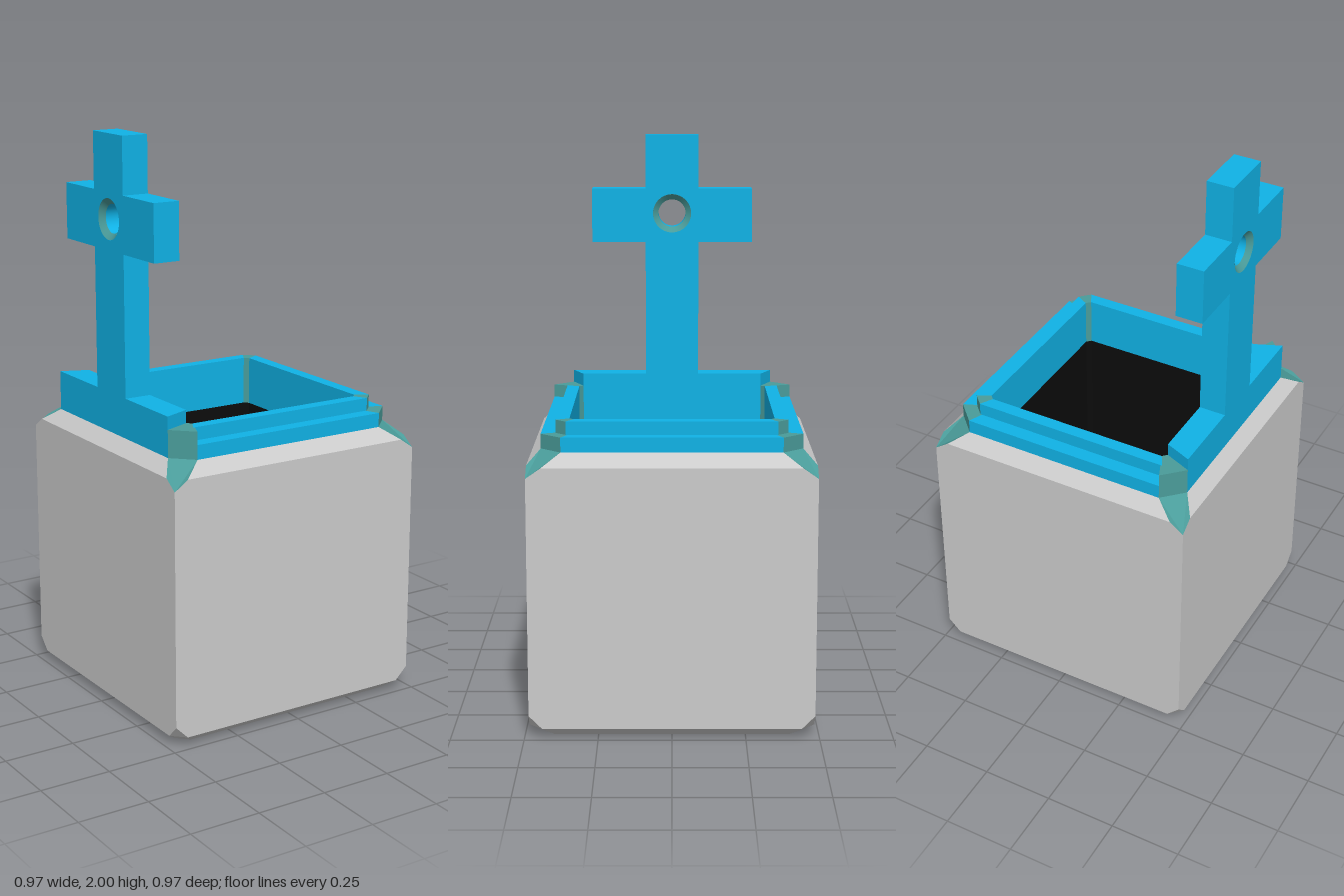
import * as THREE from 'three';

const mat = (color, side = THREE.FrontSide) =>
  new THREE.MeshStandardMaterial({ color, flatShading: true, side });

export function createModel() {
  const group = new THREE.Group();
  const grey = mat(0xcccccc), blue = mat(0x10b2e6), teal = mat(0x4a9c9a), black = mat(0x0c0c0c);

  const add = (name, geometry, material, turn = 0) => {
    const mesh = new THREE.Mesh(geometry, material);
    mesh.name = name;
    mesh.rotation.y = turn * Math.PI / 2;
    group.add(mesh);
    return mesh;
  };

  // Flat faces, each a fan around its first corner
  const faces = (...polygons) => {
    const p = [];
    for (const f of polygons)
      for (let i = 1; i < f.length - 1; i++) p.push(...f[0], ...f[i], ...f[i + 1]);
    const g = new THREE.BufferGeometry();
    g.setAttribute('position', new THREE.Float32BufferAttribute(p, 3));
    g.computeVertexNormals();
    return g;
  };

  // Upright prism over an outline of [x, z] points
  const prism = (outline, y0, y1) => {
    const shape = new THREE.Shape(outline.map(([x, z]) => new THREE.Vector2(x, -z)));
    return new THREE.ExtrudeGeometry(shape, { depth: y1 - y0, bevelEnabled: false })
      .rotateX(-Math.PI / 2).translate(0, y0, 0);
  };

  const W = 0.485, T = 0.44, IN = 0.345, C = 0.33, FLOOR = 0.14, LIP = 0.9;
  const side = (half, out) => [[-half, out], [half, out], [C, IN], [-C, IN]];
  const corner = (half, out) => [[half, out], [out, half], [IN, C], [C, IN]];

  // Four equal quarters: front, left, back, right
  for (let k = 0; k < 4; k++) {
    const isRight = k === 3, rightCorner = k >= 2;

    // Body panel with bevels above and below
    add('bodySide', faces(
      [[-W, 0.08, W], [-T, 0.035, W], [T, 0.035, W], [W, 0.08, W],
        [W, 0.9, W], [0.435, 0.935, W], [-0.435, 0.935, W], [-W, 0.9, W]],
      [[-0.435, 0.935, W], [0.435, 0.935, W], [0.37, 0.98, T], [-0.37, 0.98, T]],
      [[-0.4, 0, T], [0.4, 0, T], [T, 0.035, W], [-T, 0.035, W]],
      [[T, 0.035, W], [W, 0.035, T], [W, 0.08, W]],
      [[0.4, 0, T], [T, 0, 0.4], [W, 0.035, T], [T, 0.035, W]],
      [[0, 0, 0], [T, 0, 0.4], [0.4, 0, T], [-0.4, 0, T]]
    ), grey, k);
    add('bodyCorner', faces(
      [[W, 0.9, W], [W, 0.935, 0.435], [T, 0.98, 0.37], [0.37, 0.98, T], [0.435, 0.935, W]]
    ), teal, k);

    // Hollow inside
    add('innerWall', faces(
      [[C, FLOOR, IN], [-C, FLOOR, IN], [-C, LIP, IN], [C, LIP, IN]],
      [[0, FLOOR, 0], [-C, FLOOR, IN], [C, FLOOR, IN], [IN, FLOOR, C]]
    ), black, k);
    add('innerCorner', faces(
      [[IN, FLOOR, C], [C, FLOOR, IN], [C, LIP, IN], [IN, LIP, C]]
    ), rightCorner ? teal : black, k);

    // Stepped rim; the right side is one tall wall that carries the cross
    add('rimSide', prism(side(0.37, T), LIP, 0.98), blue, k);
    add('rimCorner', prism(corner(0.37, T), LIP, 0.98), teal, k);
    if (isRight) {
      add('crossWall', prism(side(0.37, T), 0.98, 1.12), blue, k);
    } else {
      add('rimLowerStep', prism(side(0.37, T), 0.98, 1.03), blue, k);
      add('rimUpperStep', prism(side(0.355, 0.39), 1.03, 1.075), blue, k);
    }
    add('rimCornerPost', prism(corner(0.37, T), 0.98, rightCorner ? 1.075 : 1.03), teal, k);
    if (!rightCorner) add('rimUpperCorner', prism(corner(0.355, 0.39), 1.03, 1.075), teal, k);
  }

  // Cross with a round hole
  const holeY = 1.715, depth = T - IN, midX = -(T + IN) / 2;
  const half = [[0.097, 1.12], [0.097, 1.61], [0.293, 1.61], [0.293, 1.805], [0.097, 1.805], [0.097, 2]];
  const outline = [...half, ...half.map(([x, y]) => [-x, y]).reverse()];
  const shape = new THREE.Shape(outline.map(([x, y]) => new THREE.Vector2(x, y)));
  shape.holes.push(new THREE.Path().absarc(0, holeY, 0.07, 0, Math.PI * 2, true));
  add('cross', new THREE.ExtrudeGeometry(shape, { depth, bevelEnabled: false, curveSegments: 32 })
    .rotateY(Math.PI / 2).translate(-T, 0, 0), blue);

  // Hole lining and its countersunk edges
  const lathe = (name, profile, color) => {
    const g = new THREE.LatheGeometry(profile.map(([r, y]) => new THREE.Vector2(r, y)), 32);
    const m = new THREE.MeshStandardMaterial({ color, side: THREE.DoubleSide });
    add(name, g.rotateZ(Math.PI / 2).translate(midX, holeY, 0), m);
  };
  lathe('holeLining', [[0.05, -0.03], [0.05, 0.03]], 0x10b2e6);
  for (const s of [-1, 1])
    lathe('holeEdge', [[0.05, s * 0.03], [0.07, s * depth / 2]], 0x4a9c9a);

  return group;
}
